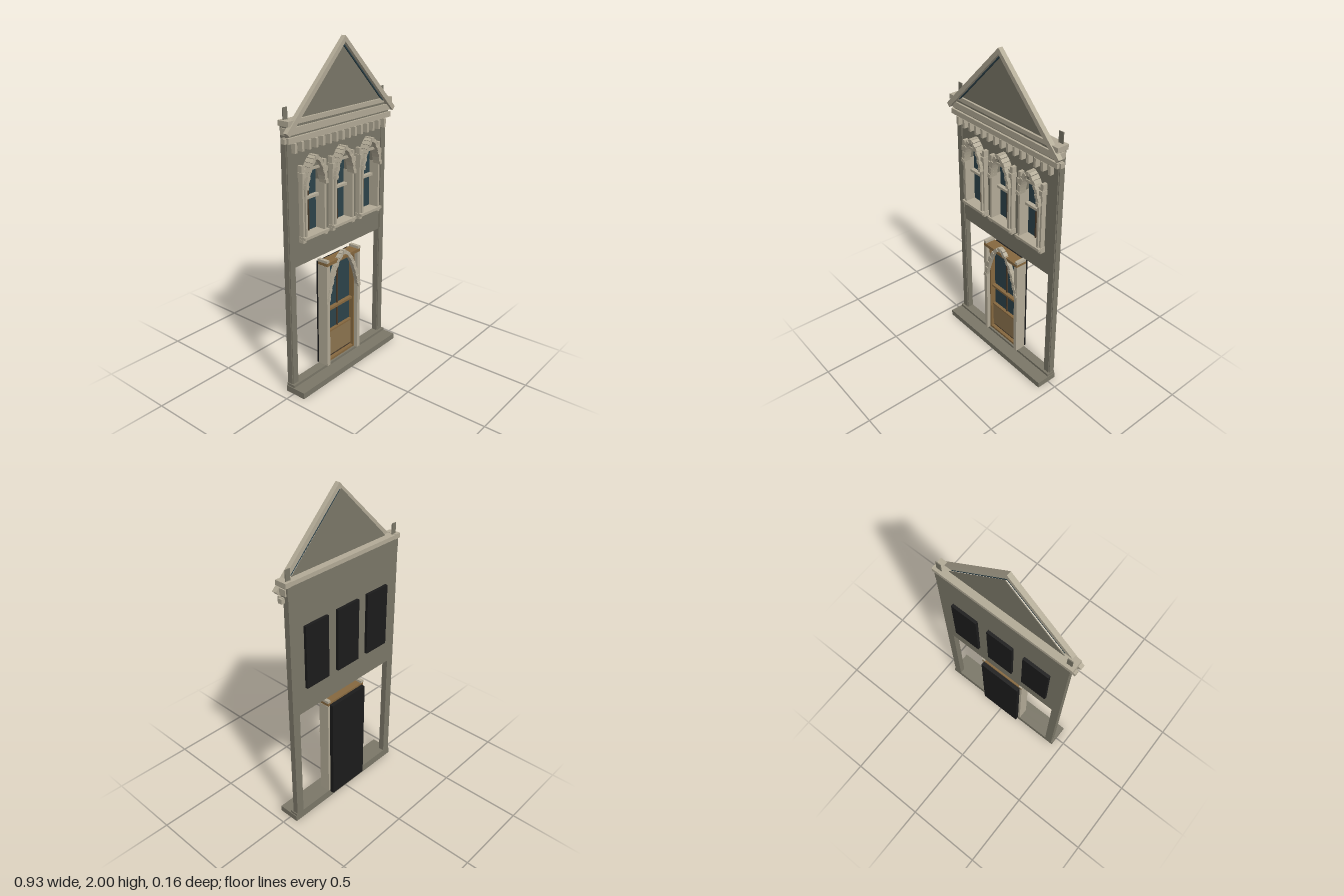
import * as THREE from 'three';

const mat = (name, color, side = THREE.FrontSide) => {
  const m = new THREE.MeshStandardMaterial({ color, side });
  m.name = name;
  return m;
};

export function createModel() {
  const wall = mat('grey masonry', 0x7b7768);
  const stone = mat('pale stone', 0xb3ab97);
  const wood = mat('door wood', 0x86683f);
  const panelWood = mat('door panel wood', 0x8d744f);
  const darkWood = mat('dark glazing bar', 0x4a3c2c);
  const glass = mat('dark glass', 0x2d434b);
  const black = mat('black backing', 0x1c1c1c);

  const model = new THREE.Group();
  model.name = 'narrowShopFacade';

  const group = (name, parent = model) => {
    const g = new THREE.Group();
    g.name = name;
    parent.add(g);
    return g;
  };
  // Box given by its extents
  const box = (parent, name, m, x0, x1, y0, y1, z0, z1) => {
    const mesh = new THREE.Mesh(new THREE.BoxGeometry(x1 - x0, y1 - y0, z1 - z0), m);
    mesh.position.set((x0 + x1) / 2, (y0 + y1) / 2, (z0 + z1) / 2);
    mesh.name = name;
    parent.add(mesh);
    return mesh;
  };
  // The same box on both sides of x = 0
  const pair = (parent, name, m, x0, x1, ...rest) => {
    box(parent, name, m, x0, x1, ...rest);
    box(parent, name, m, -x1, -x0, ...rest);
  };
  const extrude = (parent, name, m, shape, z0, z1) => {
    const geo = new THREE.ExtrudeGeometry(shape, { depth: z1 - z0, bevelEnabled: false });
    const mesh = new THREE.Mesh(geo, m);
    mesh.position.z = z0;
    mesh.name = name;
    parent.add(mesh);
  };
  const polygon = (pts) => new THREE.Shape(pts.map(([x, y]) => new THREE.Vector2(x, y)));
  const rect = (x0, x1, y0, y1) => polygon([[x0, y0], [x1, y0], [x1, y1], [x0, y1]]);

  // Pointed arch of separate stones, from the springing point to the apex
  const pointedArch = (parent, p0, ctrl, apex, count, width, z0, z1) => {
    const curve = new THREE.QuadraticBezierCurve(
      new THREE.Vector2(...p0), new THREE.Vector2(...ctrl), new THREE.Vector2(...apex));
    const len = curve.getLength() / count;
    for (const s of [-1, 1]) {
      for (let i = 0; i < count; i++) {
        const u = (i + 0.5) / count;
        const p = curve.getPointAt(u), t = curve.getTangentAt(u);
        const proud = i % 2 ? 0.004 : 0;
        const b = box(parent, 'archStone', stone, -width / 2, width / 2,
          -len * 0.49, len * 0.49, z0, z1 - proud);
        b.position.x = s * p.x;
        b.position.y = p.y;
        b.rotation.z = s * (Math.atan2(t.y, t.x) - Math.PI / 2);
      }
    }
    box(parent, 'keystone', stone, -width * 0.5, width * 0.5,
      apex[1] - width * 0.6, apex[1] + width * 0.5, z0, z1);
  };

  // Base
  const base = group('base');
  box(base, 'plinth', wall, -0.44, 0.44, 0, 0.037, -0.055, 0.08);
  box(base, 'threshold', wall, -0.435, 0.435, 0.037, 0.053, -0.055, 0);

  // Wall with a wide shop opening and three window openings
  const windowX = [-0.245, 0, 0.245];
  const wallShape = rect(-0.43, 0.43, 0.037, 1.6);
  wallShape.holes.push(rect(-0.38, 0.38, 0.053, 0.78));
  for (const x of windowX) wallShape.holes.push(rect(x - 0.072, x + 0.072, 0.95, 1.33));
  extrude(model, 'wall', wall, wallShape, -0.055, -0.02);
  pair(model, 'sidePilaster', wall, 0.385, 0.425, 0.053, 1.49, -0.02, -0.014);

  // Upper windows
  for (const x of windowX) {
    const w = group('window');
    w.position.x = x;
    box(w, 'glass', glass, -0.072, 0.072, 0.95, 1.33, -0.054, -0.046);
    box(w, 'backing', black, -0.086, 0.086, 0.94, 1.33, -0.073, -0.055);
    box(w, 'mullion', darkWood, -0.004, 0.004, 0.955, 1.33, -0.046, -0.036);
    box(w, 'transom', stone, -0.072, 0.072, 1.148, 1.163, -0.046, -0.02);
    pair(w, 'outerJamb', stone, 0.074, 0.096, 0.94, 1.335, -0.02, 0.01);
    pair(w, 'innerJamb', stone, 0.07, 0.084, 0.955, 1.24, -0.046, 0.02);
    box(w, 'sill', stone, -0.1, 0.1, 0.938, 0.954, -0.046, 0.028);
    pair(w, 'sillBracket', stone, 0.078, 0.101, 0.92, 0.938, -0.02, 0.015);
    box(w, 'lintel', stone, -0.1, 0.1, 1.32, 1.335, -0.046, 0.01);
    pair(w, 'capital', stone, 0.076, 0.102, 1.29, 1.318, -0.02, 0.018);
    pair(w, 'finial', stone, 0.08, 0.1, 1.335, 1.357, -0.02, 0.01);
    box(w, 'archInfill', wall, -0.045, 0.045, 1.335, 1.36, -0.02, 0.004);
    pointedArch(w, [0.081, 1.225], [0.06, 1.36], [0, 1.391], 8, 0.021, -0.02, 0.033);
  }

  // Door set standing in the opening
  const door = group('door');
  box(door, 'backing', black, -0.14, 0.14, 0.04, 0.72, -0.08, -0.055);
  box(door, 'glass', glass, -0.125, 0.125, 0.25, 0.715, -0.054, -0.045);
  box(door, 'lowerPanel', panelWood, -0.122, 0.122, 0.08, 0.25, -0.054, -0.03);
  box(door, 'bottomRail', wood, -0.13, 0.13, 0.053, 0.067, -0.054, -0.012);
  box(door, 'kickGap', darkWood, -0.122, 0.122, 0.067, 0.08, -0.054, -0.034);
  box(door, 'middleRail', wood, -0.122, 0.122, 0.393, 0.407, -0.046, -0.02);
  box(door, 'panelRail', wood, -0.122, 0.122, 0.243, 0.253, -0.046, -0.025);
  box(door, 'mullion', darkWood, -0.004, 0.004, 0.253, 0.715, -0.046, -0.036);
  pair(door, 'stile', wood, 0.121, 0.132, 0.053, 0.715, -0.055, -0.01);
  box(door, 'headRail', wood, -0.153, 0.153, 0.712, 0.732, -0.055, 0.016);
  pair(door, 'jamb', stone, 0.13, 0.155, 0.053, 0.712, -0.055, 0.015);
  pair(door, 'jambCap', stone, 0.134, 0.156, 0.732, 0.748, -0.055, 0.015);
  pointedArch(door, [0.144, 0.485], [0.088, 0.725], [0, 0.759], 12, 0.022, -0.006, 0.022);

  // Cornice: dentils and stacked bands
  const cornice = group('cornice');
  for (let i = -7; i <= 7; i++) {
    box(cornice, 'dentil', stone, i * 0.055 - 0.009, i * 0.055 + 0.009, 1.435, 1.488, -0.02, 0.012);
  }
  box(cornice, 'lowerBand', stone, -0.44, 0.44, 1.492, 1.523, -0.03, 0.012);
  pair(cornice, 'lowerBandEnd', stone, 0.435, 0.452, 1.492, 1.52, -0.03, -0.003);
  box(cornice, 'recess', wall, -0.432, 0.432, 1.523, 1.585, -0.055, -0.002);
  box(cornice, 'middleBand', stone, -0.44, 0.44, 1.535, 1.572, -0.045, 0.01);
  box(cornice, 'topBand', stone, -0.405, 0.405, 1.585, 1.61, -0.057, 0.002);
  pair(cornice, 'topBandEnd', stone, 0.405, 0.445, 1.583, 1.612, -0.057, 0.018);
  pair(cornice, 'cornerPost', wall, 0.395, 0.427, 1.61, 1.675, -0.039, -0.034);

  // Gable: thin triangular panel behind two rafters with a dark lining
  const gable = group('gable');
  extrude(gable, 'gablePanel', wall, polygon([[-0.375, 1.6], [0.375, 1.6], [0, 1.972]]), -0.016, -0.012);
  for (const s of [-1, 1]) {
    const side = (pts) => polygon(pts.map(([x, y]) => [s * x, y]));
    extrude(gable, 'rafter', stone,
      side([[0, 2], [0.463, 1.553], [0.443, 1.532], [0, 1.966]]), -0.003, 0.025);
    extrude(gable, 'rafterLining', glass,
      side([[0, 1.966], [0.375, 1.599], [0.365, 1.599], [0, 1.956]]), -0.003, 0.005);
  }
  return model;
}
